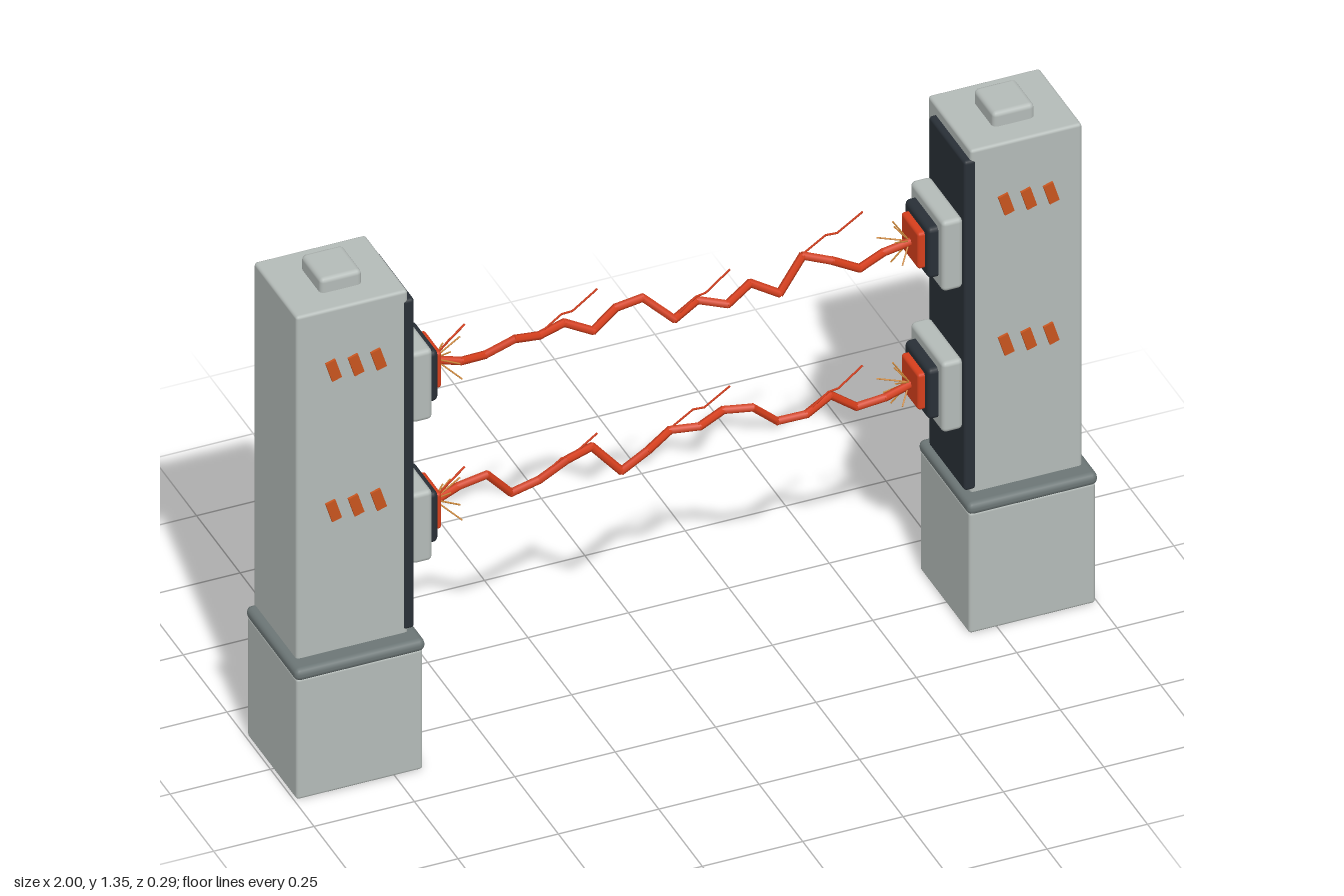
import * as THREE from 'three';
import { mergeGeometries } from 'three/addons/utils/BufferGeometryUtils.js';
import { RoundedBoxGeometry } from 'three/addons/geometries/RoundedBoxGeometry.js';

const material = (name, color) => {
  const m = new THREE.MeshStandardMaterial({ color });
  m.name = name;
  return m;
};

export function createModel() {
  const shell = material('light grey', 0xb4bbb8);
  const trim = material('slate grey', 0x6c7676);
  const dark = material('charcoal', 0x293037);
  const glow = material('red orange', 0xd63f1c);
  const stripe = material('burnt orange', 0xc8551f);
  const spark = material('amber', 0xd08a3c);

  const add = (parent, name, geometry, mat, x = 0, y = 0, z = 0) => {
    const mesh = new THREE.Mesh(geometry, mat);
    mesh.name = name;
    mesh.position.set(x, y, z);
    parent.add(mesh);
    return mesh;
  };
  const block = (w, h, d, r) => new RoundedBoxGeometry(w, h, d, 2, r);

  // Thin faceted rods following a list of points
  const up = new THREE.Vector3(0, 1, 0);
  const rod = (a, b, r) => {
    const dir = b.clone().sub(a);
    const g = new THREE.CylinderGeometry(r, r, dir.length() + r * 0.6, 6);
    g.applyQuaternion(new THREE.Quaternion().setFromUnitVectors(up, dir.normalize()));
    const mid = a.clone().add(b).multiplyScalar(0.5);
    return g.translate(mid.x, mid.y, mid.z);
  };
  const strand = (pts, r) =>
    mergeGeometries(pts.slice(1).map((p, i) => rod(pts[i], p, r)));

  const model = new THREE.Group();
  model.name = 'energyFence';
  const levels = [1.027, 0.635];

  // Two posts; s points from the post towards the gap
  for (const s of [1, -1]) {
    const post = new THREE.Group();
    post.name = s > 0 ? 'rightPost' : 'leftPost';
    post.position.x = -s * 0.8375;
    model.add(post);

    add(post, 'base', block(0.315, 0.335, 0.285, 0.008), shell, 0, 0.1675, -0.003);
    add(post, 'collar', block(0.325, 0.033, 0.294, 0.015), trim, 0, 0.347, 0);
    add(post, 'column', block(0.278, 0.96, 0.246, 0.008), shell, -s * 0.002, 0.832, -0.023);
    add(post, 'topCap', block(0.104, 0.05, 0.116, 0.012), shell, 0, 1.325, -0.024);
    add(post, 'innerPanel', block(0.03, 0.915, 0.207, 0.008), dark, s * 0.138, 0.828, -0.002);

    // Stepped emitters on the inner face
    for (const y of levels) {
      const emitter = new THREE.Group();
      emitter.name = 'emitter';
      emitter.position.set(0, y, -0.003);
      post.add(emitter);
      add(emitter, 'emitterPlate', block(0.052, 0.195, 0.19, 0.012), shell, s * 0.177, 0, 0);
      add(emitter, 'emitterHousing', block(0.036, 0.14, 0.14, 0.012), dark, s * 0.21, 0, 0);
      add(emitter, 'emitterFace', block(0.03, 0.1, 0.1, 0.008), glow, s * 0.23, 0, 0);

      // Sparks fanning out of the emitter face
      const rays = [];
      for (let i = 0; i < 7; i++) {
        const a = i * 2.4 + (s > 0 ? 0.7 : 2.1);
        const spread = 0.035 + 0.01 * (i % 3);
        rays.push(rod(
          new THREE.Vector3(s * 0.245, 0, 0),
          new THREE.Vector3(s * (0.275 + 0.012 * (i % 4)), Math.sin(a) * spread * 1.2, Math.cos(a) * spread),
          0.002));
      }
      add(emitter, 'sparks', mergeGeometries(rays), spark);
    }

    // Slanted warning marks on the front
    for (const y of [1.161, 0.771]) {
      for (const x of [-0.06, -0.004, 0.052]) {
        add(post, 'warningMark', new THREE.BoxGeometry(0.025, 0.055, 0.006), stripe, x, y, 0.126)
          .rotation.z = 0.3;
      }
    }
  }

  // Jagged beams between the posts
  const beams = [
    [1.027, 1.011, 1, 1.037, 1.021, 1.032, 1, 1.032, 1.043, 0.984,
      1.005, 0.989, 1.016, 0.979, 1.053, 1.032, 0.995, 1.011, 1.027],
    [0.631, 0.652, 0.674, 0.596, 0.62, 0.663, 0.674, 0.599, 0.636, 0.66,
      0.663, 0.679, 0.679, 0.615, 0.626, 0.652, 0.599, 0.615, 0.631],
  ];
  const sway = [0, 0.01, -0.006, 0.012, 0, -0.01, 0.004, -0.018, -0.016, 0.014,
    -0.008, 0.014, -0.008, 0.008, -0.012, 0.006, 0.01, -0.006, 0];
  beams.forEach((heights, k) => {
    const pts = heights.map((y, i) =>
      new THREE.Vector3(-0.595 + i * 1.19 / 18, y, sway[i] * (k ? -0.8 : 1)));
    add(model, 'beam', strand(pts, 0.01), glow);

    // Fine arcs branching up from the beam
    for (const i of [0, 4, 9, 14]) {
      const p = pts[i];
      const offsets = i === 0
        ? [[0, 0], [0.04, 0.052], [0.08, 0.073]]
        : [[0, 0], [0.052, 0.05], [0.084, 0.042], [0.14, 0.095]];
      const arc = offsets.map(([x, y], j) =>
        new THREE.Vector3(p.x + x, p.y + y, p.z * (1 - j / 3) + (j % 2 ? 0.008 : -0.004)));
      add(model, 'branchArc', strand(arc, 0.0025), glow);
    }
  });

  return model;
}
